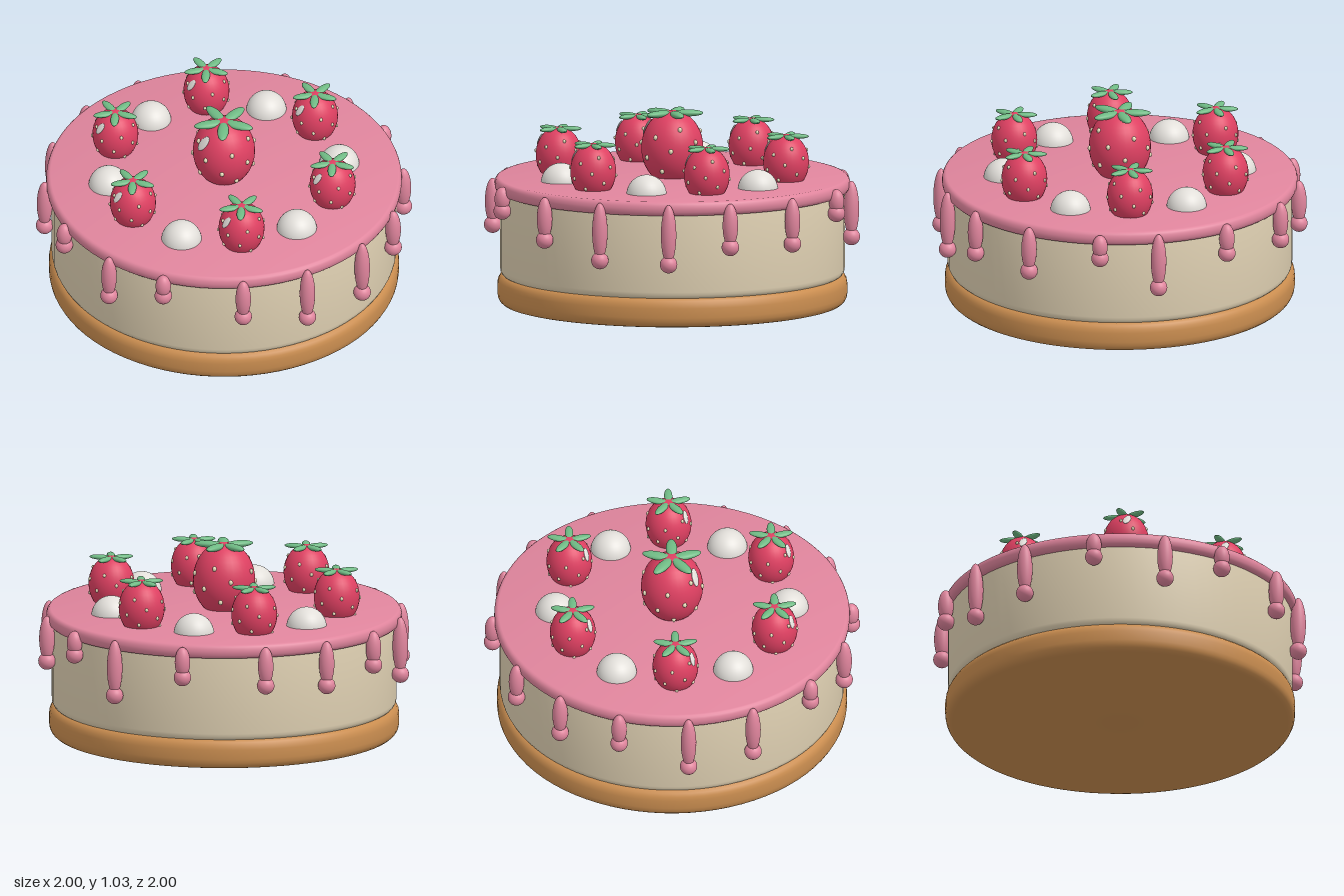
import * as THREE from 'three';
import { toCreasedNormals } from 'three/addons/utils/BufferGeometryUtils.js';

const mat = (name, color) => new THREE.MeshStandardMaterial({ name, color });

export function createModel() {
  const crustMat = mat('biscuit brown', 0xcb8e50);
  const spongeMat = mat('cream', 0xdfd0b2);
  const icingMat = mat('pink icing', 0xe0859d);
  const berryMat = mat('berry red', 0xdf4062);
  const leafMat = mat('leaf green', 0x6fba84);
  const whiteMat = mat('whipped white', 0xe2dfda);
  const seedMat = mat('seed cream', 0xe6dcba);

  const cake = new THREE.Group();
  cake.name = 'cake';
  const ball = new THREE.SphereGeometry(1, 32, 20);
  const smallBall = new THREE.SphereGeometry(1, 10, 8);

  function add(parent, name, geometry, material, pos = [0, 0, 0], scale = [1, 1, 1]) {
    const mesh = new THREE.Mesh(geometry, material);
    mesh.name = name;
    mesh.position.set(...pos);
    mesh.scale.set(...scale);
    parent.add(mesh);
    return mesh;
  }

  // Round layer with softened edges: b and h are the bevel's width and height
  function layer(name, material, radius, y0, y1, b, h) {
    const pts = [new THREE.Vector2(0, y0)];
    const steps = 4;
    for (let i = 0; i <= steps; i++) {
      const t = (i / steps) * Math.PI / 2;
      pts.push(new THREE.Vector2(radius - b + b * Math.sin(t), y0 + h - h * Math.cos(t)));
    }
    for (let i = 0; i <= steps; i++) {
      const t = (i / steps) * Math.PI / 2;
      pts.push(new THREE.Vector2(radius - b + b * Math.cos(t), y1 - h + h * Math.sin(t)));
    }
    pts.push(new THREE.Vector2(0, y1));
    const geo = toCreasedNormals(new THREE.LatheGeometry(pts, 80), 0.6);
    return add(cake, name, geo, material);
  }
  layer('biscuitBase', crustMat, 0.928, 0, 0.16, 0.042, 0.055);
  layer('creamLayer', spongeMat, 0.914, 0.15, 0.64, 0.03, 0.04);
  layer('icingTop', icingMat, 0.943, 0.602, 0.677, 0.024, 0.034);

  // Icing drips: angle from +x towards +z in degrees, height of the lowest point
  const drips = [
    [-1.6, 0.385], [18.4, 0.30], [41, 0.31], [62.5, 0.39],
    [88.4, 0.49], [108.4, 0.37], [131.3, 0.485], [154.9, 0.335],
    [176.4, 0.31], [198.8, 0.435], [220.2, 0.38], [241.6, 0.41],
    [268.4, 0.455], [292.5, 0.32], [311.3, 0.49], [335.3, 0.375],
  ];
  for (const [deg, bottom] of drips) {
    const a = THREE.MathUtils.degToRad(deg);
    const drip = new THREE.Group();
    drip.name = 'icingDrip';
    drip.position.set(0.953 * Math.cos(a), 0, 0.953 * Math.sin(a));
    const top = 0.665, low = bottom + 0.045;
    add(drip, 'dripBody', ball, icingMat, [0, (top + low) / 2, 0], [0.041, (top - low) / 2, 0.041]);
    add(drip, 'dripTip', ball, icingMat, [0, bottom + 0.046, 0], [0.046, 0.046, 0.046]);
    cake.add(drip);
  }

  // Strawberry: body, seeds, shine spot and five leaves
  function strawberry(name, x, y, z, r, h) {
    const berry = new THREE.Group();
    berry.name = name;
    berry.position.set(x, y, z);
    add(berry, 'berryBody', ball, berryMat, [0, 0, 0], [r, h, r]);

    const count = 18, s = 0.07 * r;
    for (let i = 0; i < count; i++) {
      const v = 0.6 - 1.25 * (i + 0.5) / count;
      const a = i * 2.39996, w = Math.sqrt(1 - v * v);
      add(berry, 'seed', smallBall, seedMat, [r * w * Math.cos(a), h * v, r * w * Math.sin(a)], [s, s * 1.2, s]);
    }

    const n = new THREE.Vector3(-0.42, 0.54, 0.73);
    const shine = add(berry, 'shineSpot', ball, whiteMat,
      [n.x * r, n.y * h, n.z * r], [0.15 * r, 0.3 * r, 0.05 * r]);
    const facing = new THREE.Vector3(n.x / r, n.y / h, n.z / r).normalize();
    shine.quaternion.setFromUnitVectors(new THREE.Vector3(0, 0, 1), facing);
    shine.rotateZ(-0.5);

    for (let i = 0; i < 5; i++) {
      const a = i * Math.PI * 2 / 5;
      const leaf = add(berry, 'leaf', ball, leafMat,
        [0.5 * r * Math.cos(a), h * 0.93, 0.5 * r * Math.sin(a)], [0.49 * r, 0.11 * r, 0.18 * r]);
      leaf.rotation.y = -a;
    }
    cake.add(berry);
  }
  strawberry('centreStrawberry', 0, 0.83, 0, 0.165, 0.2);

  // Ring of strawberries alternating with cream dollops
  for (let i = 0; i < 6; i++) {
    const a = i * Math.PI / 3, b = a + Math.PI / 6, R = 0.618;
    strawberry('ringStrawberry', R * Math.cos(a), 0.772, R * Math.sin(a), 0.122, 0.15);
    add(cake, 'creamDollop', ball, whiteMat, [R * Math.cos(b), 0.668, R * Math.sin(b)], [0.107, 0.107, 0.107]);
  }
  return cake;
}
